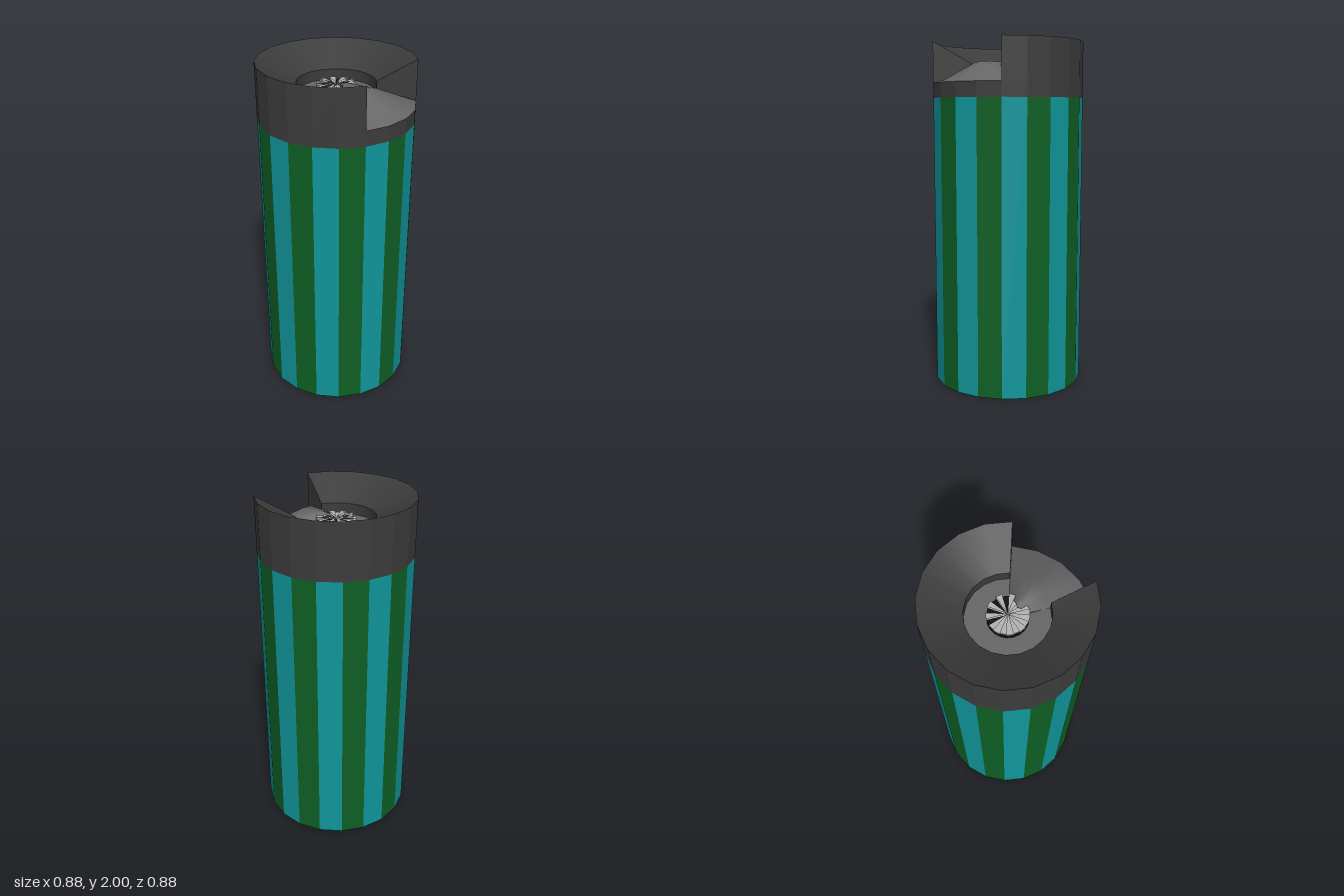
import * as THREE from 'three';

const SIDES = 20, STEP = Math.PI * 2 / SIDES;
const R = 0.44, INNER = 0.22, HUB = 0.11;
const BODY_TOP = 1.68, LIP = 1.765, TOP = 2, FUNNEL = 1.88, FLOOR = 1.82;
// the notch spans four sides of the cap
const NOTCH_START = -1, NOTCH_END = 3;
const REST_START = NOTCH_END * STEP, REST_LENGTH = (SIDES - 4) * STEP;

const material = (color, flatShading = true) =>
  new THREE.MeshStandardMaterial({ color, flatShading, side: THREE.DoubleSide });

const polar = (r, side, y) => [r * Math.sin(side * STEP), y, r * Math.cos(side * STEP)];

function add(parent, name, geometry, mat, y = 0) {
  const mesh = new THREE.Mesh(geometry, mat);
  mesh.name = name;
  mesh.position.y = y;
  parent.add(mesh);
  return mesh;
}

// Part of a cylinder wall between two heights
const wall = (r, y0, y1, start, length, sides, open = true) =>
  new THREE.CylinderGeometry(r, r, y1 - y0, sides, 1, open, start, length).translate(0, (y0 + y1) / 2, 0);

// Surface through equal-length rows of points
function loft(rows) {
  const n = rows[0].length, index = [];
  for (let j = 0; j < rows.length - 1; j++) {
    for (let i = 0; i < n - 1; i++) {
      const a = j * n + i, b = a + 1, c = a + n, d = c + 1;
      index.push(a, b, c, b, d, c);
    }
  }
  const g = new THREE.BufferGeometry();
  g.setAttribute('position', new THREE.Float32BufferAttribute(rows.flat(2), 3));
  g.setIndex(index);
  g.computeVertexNormals();
  return g;
}

function ring(points, start, length, sides) {
  return new THREE.LatheGeometry(points.map(p => new THREE.Vector2(...p)), sides, start, length);
}

export function createModel() {
  const model = new THREE.Group();
  model.name = 'canister';
  const green = material(0x0f5f25), teal = material(0x10969b);
  const dark = material(0x3c3c3c), darkSmooth = material(0x3c3c3c, false);
  const grey = material(0x666666, false), steel = material(0xb4b4b4), black = material(0x0c0c0c);

  // Striped body
  const body = new THREE.Group();
  body.name = 'body';
  model.add(body);
  for (let i = 0; i < SIDES; i++) {
    add(body, 'stripe', wall(R, 0, BODY_TOP, i * STEP, STEP, 1), i % 2 ? teal : green);
  }
  add(body, 'base', new THREE.CircleGeometry(R, SIDES).rotateX(Math.PI / 2), green);

  // Cap: full lower band, then a notched collar with a funnel inside
  const cap = new THREE.Group();
  cap.name = 'cap';
  model.add(cap);
  add(cap, 'capBand', wall(R, BODY_TOP, LIP, 0, Math.PI * 2, SIDES), dark);
  add(cap, 'collar', wall(R, LIP, TOP, REST_START, REST_LENGTH, SIDES - 4), dark);
  add(cap, 'funnel', ring([[R, TOP], [INNER, FUNNEL]], REST_START, REST_LENGTH, SIDES - 4), darkSmooth);
  add(cap, 'wellWall', ring([[INNER, FUNNEL], [INNER, FLOOR]], REST_START, REST_LENGTH, SIDES - 4), darkSmooth);
  add(cap, 'wellFloor', ring([[INNER, FLOOR], [HUB - 0.02, FLOOR]], REST_START, REST_LENGTH, SIDES - 4), grey);

  // Flat cheeks on both sides of the notch
  for (const side of [NOTCH_START, NOTCH_END]) {
    const rows = [
      [polar(R, side, LIP), polar(INNER, side, FLOOR)],
      [polar(R, side, TOP), polar(INNER, side, FUNNEL)],
    ];
    add(cap, 'notchCheek', loft(side === NOTCH_START ? rows.reverse() : rows), dark);
  }

  // Humped thumb ramp, ending in a beak over the wheel
  const crest = [FLOOR, 1.88, 1.885, 1.865, FLOOR];
  const beakRadius = [HUB, 0.055, 0.062, 0.078, HUB];
  const row = (radius, height) => crest.map((_, i) => polar(radius(i), NOTCH_START + i, height(i)));
  add(cap, 'thumbRamp', loft([
    row(() => R, () => LIP),
    row(() => INNER, i => crest[i]),
    row(() => HUB, i => crest[i] + 0.003),
    row(i => beakRadius[i], i => crest[i] + 0.003),
  ].reverse().map(r => r.reverse())), grey);

  // Toothed wheel
  const wheel = new THREE.Group();
  wheel.name = 'wheel';
  model.add(wheel);
  add(wheel, 'wheelDrum', wall(HUB - 0.004, FLOOR - 0.02, 1.855, 0, Math.PI * 2, SIDES, false), black);
  for (let i = 0; i < SIDES; i++) {
    if (i % 2 && i >= 3 && i <= 9) continue; // open gaps
    const top = i % 2 ? 1.864 : 1.872;
    add(wheel, 'wheelTooth', wall(HUB, top - 0.012, top, i * STEP, STEP, 1, false), steel);
  }
  return model;
}
